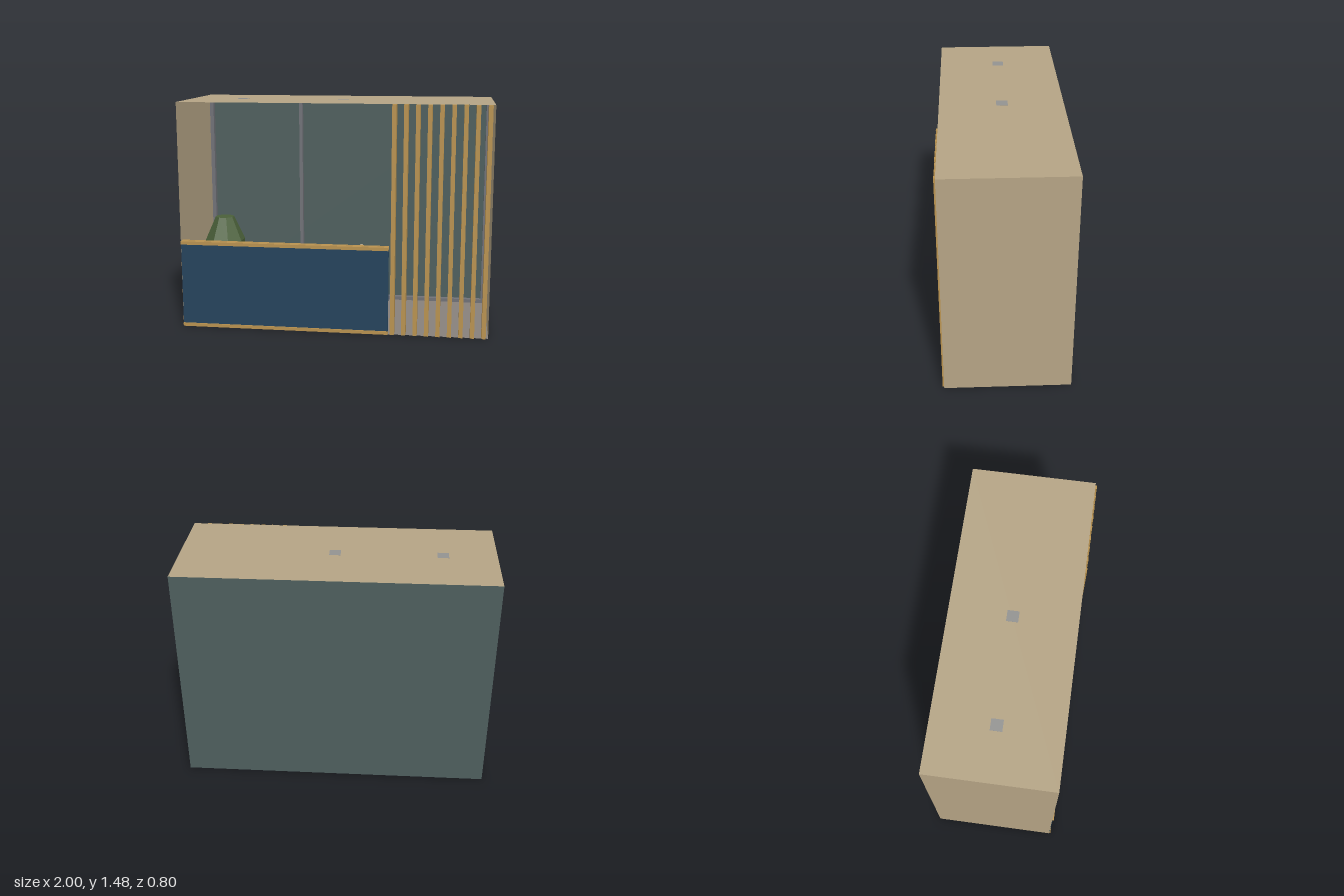
import * as THREE from 'three';

const mat = (name, color, side = THREE.FrontSide, flatShading = false) =>
  Object.assign(new THREE.MeshStandardMaterial({ color, side, flatShading }), { name });

export function createModel() {
  const plaster = mat('tan plaster', 0xb5a485, THREE.DoubleSide);
  const stone = mat('floor grey', 0x87817b, THREE.DoubleSide);
  const glass = mat('dark glass', 0x4e5f5e, THREE.DoubleSide);
  const metal = mat('frame grey', 0x717278);
  const wood = mat('golden wood', 0xba9350);
  const navy = mat('navy panel', 0x24435d);
  const leaf = mat('leaf green', 0x4a6039, THREE.FrontSide, true);
  const pale = mat('pale furniture', 0xb0aca2, THREE.FrontSide, true);
  const lamp = mat('lamp grey', 0x939391);

  const H = 1.48, FRONT = 0.39, BACK = -0.4;
  const model = new THREE.Group();
  model.name = 'balconyModule';

  const add = (name, geometry, material, x, y, z, parent = model) => {
    const mesh = new THREE.Mesh(geometry, material);
    mesh.name = name;
    mesh.position.set(x, y, z);
    parent.add(mesh);
    return mesh;
  };
  // box given by its minimum and maximum corners
  const box = (name, m, x0, x1, y0, y1, z0, z1, parent) =>
    add(name, new THREE.BoxGeometry(x1 - x0, y1 - y0, z1 - z0), m,
      (x0 + x1) / 2, (y0 + y1) / 2, (z0 + z1) / 2, parent);

  // thin shell: floor, ceiling, side walls and glazed back
  const depth = FRONT - BACK, midZ = (FRONT + BACK) / 2;
  const slab = new THREE.PlaneGeometry(2, depth).rotateX(-Math.PI / 2);
  const wall = new THREE.PlaneGeometry(depth, H).rotateY(Math.PI / 2);
  add('floor', slab, stone, 0, 0.001, midZ);
  add('ceiling', slab, plaster, 0, H, midZ);
  add('leftWall', wall, plaster, 1, H / 2, midZ);
  add('rightWall', wall, plaster, -1, H / 2, midZ);
  add('backGlass', new THREE.PlaneGeometry(2, H), glass, 0, H / 2, BACK);

  // window frame in front of the glass
  const frame = new THREE.Group();
  frame.name = 'windowFrame';
  model.add(frame);
  const fz0 = BACK + 0.003, fz1 = BACK + 0.04;
  box('frameTop', metal, -0.998, 0.998, H - 0.027, H - 0.002, fz0, fz1, frame);
  box('frameBottom', metal, -0.998, 0.998, 0.003, 0.027, fz0, fz1, frame);
  for (const [x0, x1] of [[-0.998, -0.972], [-0.345, -0.322], [0.318, 0.341], [0.972, 0.998]])
    box('mullion', metal, x0, x1, 0.027, H - 0.027, fz0, fz1, frame);

  // parapet with wooden rails
  box('parapetPanel', navy, -0.998, 0.36, 0.02, 0.555, 0.365, 0.393);
  box('bottomRail', wood, -0.998, 0.36, 0, 0.022, 0.36, 0.4);
  box('topRailFront', wood, -0.998, 0.36, 0.555, 0.577, 0.379, 0.4);
  box('topRailBack', wood, -0.998, 0.36, 0.555, 0.577, 0.35, 0.373);

  // vertical sunscreen slats
  const screen = new THREE.Group();
  screen.name = 'slatScreen';
  model.add(screen);
  for (let i = 0; i < 9; i++) {
    const x = 0.387 + i * 0.073;
    box('slat', wood, x - 0.0135, x + 0.0135, 0, H - 0.002, 0.325, 0.4, screen);
  }

  // flush ceiling lamps
  for (const x of [-0.66, 0.02])
    box('ceilingLamp', lamp, x - 0.036, x + 0.036, H - 0.003, H + 0.001, -0.045, 0.028);

  // potted shrub
  const profile = (pts) => new THREE.LatheGeometry(
    pts.map(([r, y]) => new THREE.Vector2(r, y)), 8, Math.PI / 8);
  add('shrub', profile([[0, 0.2], [0.07, 0.2], [0.125, 0.42], [0.133, 0.54], [0.062, 0.697], [0, 0.697]]),
    leaf, -0.77, 0, 0.136);
  add('plantPot', profile([[0, 0.002], [0.07, 0.002], [0.1, 0.22], [0, 0.22]]), pale, -0.77, 0, 0.136);

  // round table
  const table = new THREE.Group();
  table.name = 'table';
  table.position.set(-0.32, 0, -0.1);
  model.add(table);
  add('tableTop', new THREE.CylinderGeometry(0.184, 0.184, 0.015, 8), pale, 0, 0.375, 0, table);
  add('tableLeg', new THREE.CylinderGeometry(0.018, 0.018, 0.366, 8), pale, 0, 0.185, 0, table);
  add('tableFoot', new THREE.CylinderGeometry(0.09, 0.09, 0.012, 8), pale, 0, 0.008, 0, table);

  // two chairs facing the table
  for (const side of [-1, 1]) {
    const chair = new THREE.Group();
    chair.name = side < 0 ? 'rightChair' : 'leftChair';
    chair.position.set(-0.32 + side * 0.34, 0, -0.1);
    chair.rotation.y = side < 0 ? 0 : Math.PI;
    model.add(chair);
    box('seat', plaster, -0.1, 0.11, 0.22, 0.24, -0.1, 0.1, chair);
    box('backrest', plaster, -0.115, -0.097, 0.22, 0.453, -0.1, 0.1, chair);
    for (const x of [-0.09, 0.1]) for (const z of [-0.09, 0.09])
      box('chairLeg', plaster, x - 0.01, x + 0.01, 0.002, 0.22, z - 0.01, z + 0.01, chair);
  }
  return model;
}
